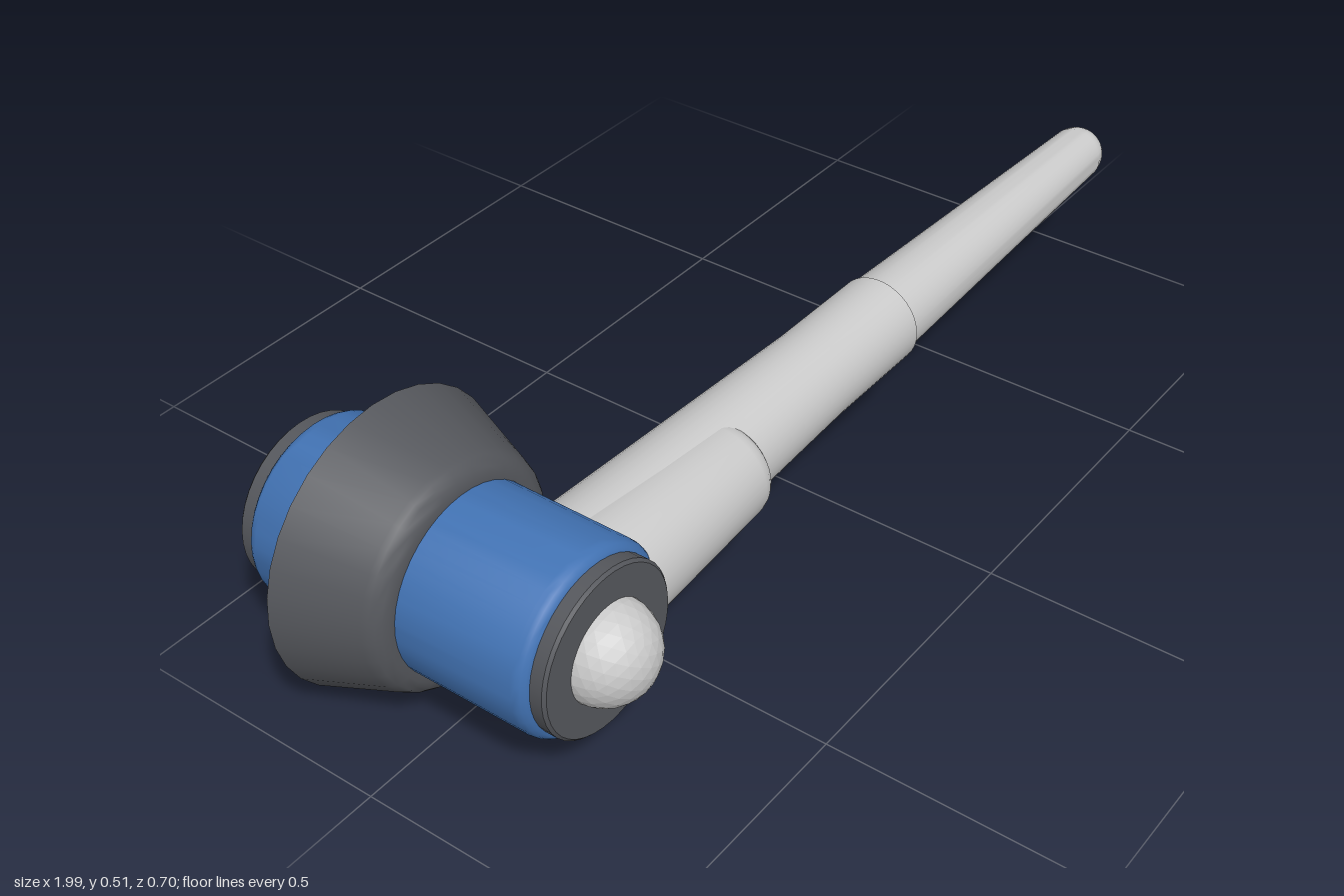
import * as THREE from 'three';
import { toCreasedNormals } from 'three/addons/utils/BufferGeometryUtils.js';

const AXIS_X = -0.743, AXIS_Y = 0.258;

const mat = (name, color) => {
  const m = new THREE.MeshStandardMaterial({ color });
  m.name = name;
  return m;
};

// Turned solid from [radius, position along axis] pairs, listed in rising position
function turned(profile, segments, axis) {
  const points = profile.map(([r, t]) => new THREE.Vector2(r, t));
  const geo = toCreasedNormals(new THREE.LatheGeometry(points, segments), 0.6);
  return axis === 'z' ? geo.rotateX(Math.PI / 2) : geo.rotateZ(-Math.PI / 2);
}

// Quarter-round edge points between two angles (degrees), around a centre in the profile
function arc(cr, ct, radius, from, to, steps = 5) {
  return Array.from({ length: steps + 1 }, (_, i) => {
    const a = THREE.MathUtils.degToRad(from + ((to - from) * i) / steps);
    return [Math.max(0, cr + radius * Math.cos(a)), ct + radius * Math.sin(a)];
  });
}

export function createModel() {
  const blue = mat('blue', 0x4273b4);
  const dark = mat('dark grey', 0x55575c);
  const light = mat('light grey', 0xcacaca);
  const model = new THREE.Group();
  model.name = 'leverHandle';

  const add = (name, geo, material, x, y, z) => {
    const mesh = new THREE.Mesh(geo, material);
    mesh.name = name;
    mesh.position.set(x, y, z);
    model.add(mesh);
  };

  // Barrel with rounded rims
  add('barrel', turned([
    [0, -0.325], ...arc(0.138, -0.3, 0.025, -90, 0),
    ...arc(0.138, 0.221, 0.025, 0, 90), [0, 0.246],
  ], 40, 'z'), blue, AXIS_X, AXIS_Y, 0);

  // End caps at both ends of one core
  add('endCaps', turned([
    [0, -0.352], [0.142, -0.352], [0.147, -0.347],
    [0.147, 0.267], [0.142, 0.272], [0, 0.272],
  ], 40, 'z'), dark, AXIS_X, AXIS_Y, 0);

  // Flared flange with a flat back and a rounded front edge
  add('flange', turned([
    [0.1, -0.175], [0.257, -0.175],
    ...arc(0.165, -0.047, 0.042, 18, 90), [0.1, -0.005],
  ], 32, 'z'), dark, AXIS_X, AXIS_Y, 0);

  // Faceted front button
  const button = new THREE.IcosahedronGeometry(0.088, 4);
  button.computeVertexNormals();
  add('button', button, light, AXIS_X, AXIS_Y, 0.265);

  // Lever sleeve, tapering to a straight collar
  add('leverSleeve', turned([
    [0, -0.72], [0.111, -0.72], [0.085, 0], [0.084, 0.212], [0, 0.212],
  ], 40, 'x'), light, 0, AXIS_Y, 0.117);

  // Slim lever shaft with a rounded tip
  add('leverShaft', turned([
    [0, 0.19], [0.079, 0.19], [0.054, 0.94], ...arc(0, 0.94, 0.053, 0, 90, 8),
  ], 40, 'x'), light, 0, AXIS_Y, 0.115);

  // Short rounded stub merging into the front of the sleeve
  add('leverStub', turned([
    [0, -0.72], [0.112, -0.72], ...arc(0.044, -0.307, 0.045, 4, 90), [0, -0.262],
  ], 40, 'x'), light, 0, AXIS_Y, 0.155);

  return model;
}
